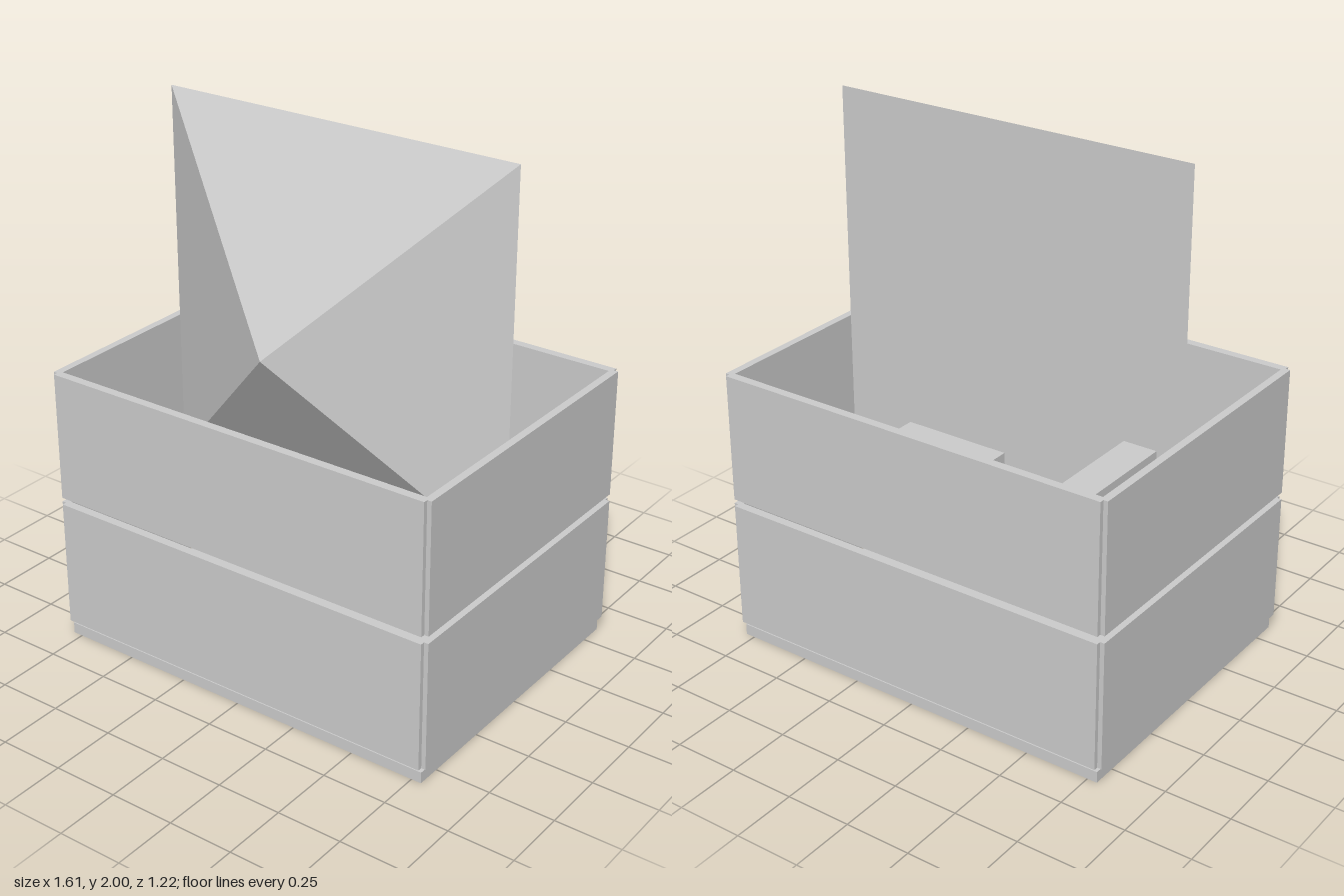
import * as THREE from 'three';

const material = new THREE.MeshStandardMaterial({ color: 0xcccccc, flatShading: true });

function add(parent, name, geometry, x, y, z) {
  const mesh = new THREE.Mesh(geometry, material);
  mesh.name = name;
  mesh.position.set(x, y, z);
  parent.add(mesh);
  return mesh;
}

// Box given by its lower and upper limits on each axis
function addBox(parent, name, [x0, x1], [y0, y1], [z0, z1]) {
  return add(parent, name, new THREE.BoxGeometry(x1 - x0, y1 - y0, z1 - z0),
    (x0 + x1) / 2, (y0 + y1) / 2, (z0 + z1) / 2);
}

// Four joined wall panels with a small notch at each outer corner
function wallRing(height) {
  const X = 0.805, Z = 0.61, x = 0.788, z = 0.593, ix = 0.776, iz = 0.577;
  const outline = [
    [x, -Z], [x, -z], [X, -z], [X, z], [x, z], [x, Z],
    [-x, Z], [-x, z], [-X, z], [-X, -z], [-x, -z], [-x, -Z],
  ];
  const shape = new THREE.Shape(outline.map(([a, b]) => new THREE.Vector2(a, b)));
  const hole = [[ix, iz], [ix, -iz], [-ix, -iz], [-ix, iz]];
  shape.holes.push(new THREE.Path(hole.map(([a, b]) => new THREE.Vector2(a, b))));
  const geometry = new THREE.ExtrudeGeometry(shape, { depth: height, bevelEnabled: false });
  return geometry.rotateX(-Math.PI / 2);
}

export function createModel() {
  const group = new THREE.Group();
  group.name = 'crateWithContents';

  // Foot plate
  addBox(group, 'basePlate', [-0.788, 0.788], [0, 0.043], [-0.593, 0.593]);

  // Two stacked trays, each a floor slab inside a ring of walls
  const trays = [
    { name: 'lowerTray', floor: [0.043, 0.075], wall: 0.062 },
    { name: 'upperTray', floor: [0.563, 0.6], wall: 0.585 },
  ];
  for (const { name, floor, wall } of trays) {
    const tray = new THREE.Group();
    tray.name = name;
    addBox(tray, 'floor', [-0.753, 0.753], floor, [-0.553, 0.553]);
    add(tray, 'walls', wallRing(0.495), 0, wall, 0);
    group.add(tray);
  }

  // Pyramid lying on its side, apex to the front
  const half = 0.722, depth = 0.43;
  const pyramid = new THREE.ConeGeometry(half * Math.SQRT2, depth, 4);
  pyramid.rotateY(Math.PI / 4).rotateX(Math.PI / 2);
  add(group, 'pyramid', pyramid, 0, 2 - half, depth / 2);

  // Smaller blocks packed around the pyramid
  addBox(group, 'tallBlock', [-0.62, -0.488], [0.6, 0.95], [-0.437, 0.0]);
  addBox(group, 'lowBlock', [0.018, 0.45], [0.6, 0.75], [-0.1, 0.255]);

  return group;
}
